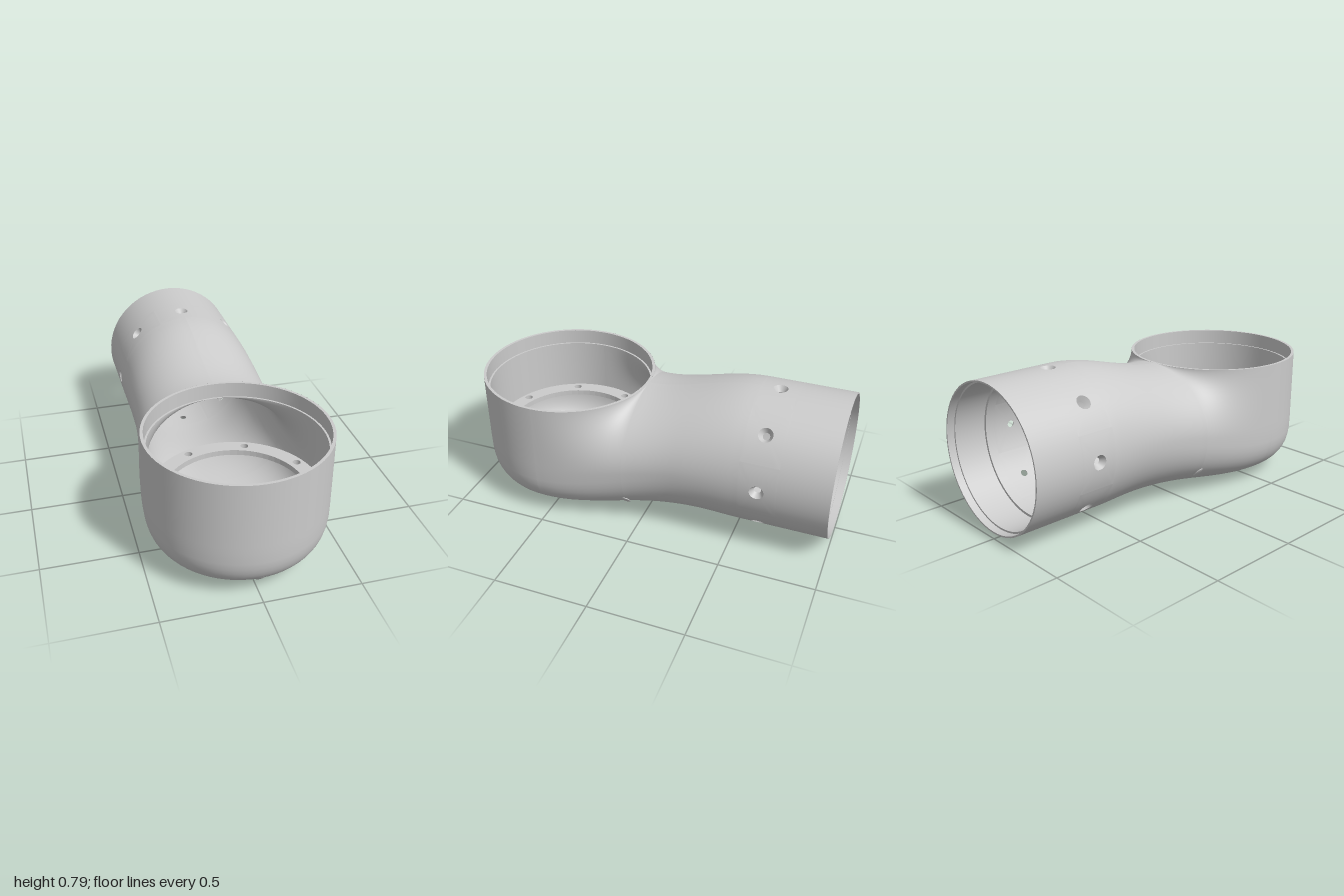
import * as THREE from 'three';

const CUP_Z = 0.53, AXIS_Y = 0.41, TUBE_R = 0.38, BORE_R = 0.35;
const material = new THREE.MeshStandardMaterial({ color: 0xcccccc, side: THREE.DoubleSide });

// smooth step from 0 at a to 1 at b
const ramp = (z, a, b) => THREE.MathUtils.smoothstep(z, a, b);

// surface through rows x cols points given by fn(i, j)
function grid(rows, cols, fn) {
  const pos = [], index = [];
  for (let i = 0; i <= rows; i++)
    for (let j = 0; j <= cols; j++) pos.push(...fn(i, j));
  for (let i = 0; i < rows; i++)
    for (let j = 0; j < cols; j++) {
      const a = i * (cols + 1) + j, b = a + cols + 1;
      index.push(a, a + 1, b, a + 1, b + 1, b);
    }
  const g = new THREE.BufferGeometry();
  g.setAttribute('position', new THREE.Float32BufferAttribute(pos, 3));
  g.setIndex(index);
  g.computeVertexNormals();
  return g;
}

// outer skin and inner skin of the elbow, as dimensions that change with z
const outer = {
  rim: 0.465,
  width: z => TUBE_R + 0.085 * ramp(z, -0.2, CUP_Z),
  top: z => 0.79 - 0.11 * ramp(z, -0.54, 0.065),
  bottom: z => 0.03 + 0.015 * ramp(z, -0.54, -0.2) - 0.04 * ramp(z, -0.1, 0.45),
};
const inner = {
  rim: 0.44,
  width: z => BORE_R + 0.09 * ramp(z, -0.2, CUP_Z),
  top: z => 0.76 - 0.16 * ramp(z, -0.54, 0.09),
  bottom: z => 0.06 + 0.01 * ramp(z, -0.54, -0.2) - 0.04 * ramp(z, -0.1, 0.45),
};

// half section at z, t = 0 at the top edge and 1 at the bottom centre
function halfSection(skin, z, t) {
  const w = skin.width(z), top = skin.top(z), bottom = skin.bottom(z);
  const yc = AXIS_Y - 0.11 * ramp(z, -0.4, CUP_Z);
  const power = 2 / (2 + ramp(z, -0.4, CUP_Z));
  const a = (t - 0.5) * Math.PI, c = Math.max(0, Math.cos(a)), s = Math.sin(a);
  if (t >= 0.5) return [w * c ** power, yc - (yc - bottom) * s ** power];
  // arch of the tube blended into the upright wall of the cup
  const rim = Math.sqrt(Math.max(0, skin.rim ** 2 - (CUP_Z - z) ** 2));
  return [(w ** 4 * c ** 4 + rim ** 4 * (1 - c ** 4)) ** 0.25, yc - (top - yc) * s];
}

// z-slices from the middle of the cup to the straight tube
function elbow(skin) {
  const zs = [], end = CUP_Z - skin.rim, n = 32;
  for (let i = 0; i <= 24; i++) zs.push(CUP_Z - skin.rim * Math.sin(i / 24 * Math.PI / 2));
  for (let i = 1; i <= 16; i++) zs.push(end + (-0.54 - end) * i / 16);
  return grid(zs.length - 1, 2 * n, (i, j) => {
    const [x, y] = halfSection(skin, zs[i], 1 - Math.abs(j - n) / n);
    return [j <= n ? x : -x, y, zs[i]];
  });
}

// front half of the cup, turned from the same section
function cupFront(skin) {
  const points = [];
  for (let i = 32; i >= 0; i--) points.push(new THREE.Vector2(...halfSection(skin, CUP_Z, i / 32)));
  return new THREE.LatheGeometry(points, 32, -Math.PI / 2, Math.PI).translate(0, 0, CUP_Z);
}

// ring between two [radius, height] pairs
const ring = (a, b) => new THREE.LatheGeometry([new THREE.Vector2(...a), new THREE.Vector2(...b)], 64);

// the same, laid along the tube axis
const tubeRing = (a, b) => ring(a, b).rotateX(Math.PI / 2).translate(0, AXIS_Y, 0);

// point on a cylinder of radius r, u measured along the arc from angle mid
const bend = (r, mid, u, z) => {
  const a = mid + u / r;
  return [r * Math.cos(a), AXIS_Y + r * Math.sin(a), z];
};

// point j of 32, evenly spaced round a square of half-width 1
function squarePoint(j) {
  const f = (j % 8) / 4 - 1;
  return [[1, f], [-f, 1], [-1, -f], [f, -1]][Math.floor(j / 8) % 4];
}

// curved panel with a round hole in its middle
function holedPanel(r, hole, mid) {
  return grid(6, 32, (i, j) => {
    const [p, q] = squarePoint(j), m = Math.hypot(p, q), k = i / 6;
    const u = THREE.MathUtils.lerp(hole * p / m, r * Math.PI / 8 * p, k);
    const v = THREE.MathUtils.lerp(hole * q / m, 0.1 * q, k);
    return bend(r, mid, u, -0.64 + v);
  });
}

// cone from the outer hole to the smaller inner hole
function countersink(mid) {
  return grid(1, 32, (i, j) => {
    const [p, q] = squarePoint(j), h = (i ? 0.018 : 0.037) / Math.hypot(p, q);
    return bend(i ? BORE_R : TUBE_R, mid, h * p, -0.64 + h * q);
  });
}

export function createModel() {
  const model = new THREE.Group();
  const add = (name, geometry, parent = model) => {
    const mesh = new THREE.Mesh(geometry, material);
    mesh.name = name;
    parent.add(mesh);
    return mesh;
  };

  // elbow body
  add('outerElbow', elbow(outer));
  add('innerElbow', elbow(inner));
  add('outerCupFront', cupFront(outer));
  add('innerCupFront', cupFront(inner));

  // tube mouth with stepped bore
  add('tubeEnd', tubeRing([TUBE_R, -0.74], [TUBE_R, -1]));
  const steps = [[TUBE_R, -1], [0.372, -1], [0.372, -0.96], [0.363, -0.96], [0.363, -0.79], [BORE_R, -0.79], [BORE_R, -0.74]];
  for (let i = 1; i < steps.length; i++) add('boreStep', tubeRing(steps[i - 1], steps[i]));

  // ring of eight countersunk holes round the tube
  const band = new THREE.Group();
  band.name = 'screwHoleBand';
  model.add(band);
  for (let k = 0; k < 8; k++) {
    const mid = k * Math.PI / 4;
    add('outerPanel', holedPanel(TUBE_R, 0.037, mid), band);
    add('innerPanel', holedPanel(BORE_R, 0.018, mid), band);
    add('countersink', countersink(mid), band);
  }

  // cup lip with a small step inside
  const lip = [[0.465, 0.68], [0.45, 0.68], [0.45, 0.6], [0.44, 0.6]];
  for (let i = 1; i < lip.length; i++) add('cupLip', ring(lip[i - 1], lip[i]).translate(0, 0, CUP_Z));

  // flange deep in the cup, with screw holes and a small front hole
  const flange = new THREE.Shape().absarc(0, 0, 0.442, 0, Math.PI * 2);
  const cut = (x, y, r) => flange.holes.push(new THREE.Path().absarc(x, y, r, 0, Math.PI * 2));
  cut(0, 0, 0.36);
  cut(0, -0.41, 0.012);
  for (let k = 0; k < 8; k++) {
    const a = (k + 0.5) * Math.PI / 4;
    cut(0.405 * Math.cos(a), 0.405 * Math.sin(a), 0.021);
  }
  const flangeGeometry = new THREE.ExtrudeGeometry(flange, { depth: 0.03, bevelEnabled: false, curveSegments: 32 });
  add('cupFlange', flangeGeometry.rotateX(-Math.PI / 2).translate(0, 0.29, CUP_Z));

  // drain openings low on the front and both sides
  for (const [x, y, z, nx, ny, nz] of [
    [0, 0.103, 0.938, 0, -0.6, 0.8],
    [0.338, 0.14, 0.07, 0.75, -0.65, 0],
    [-0.338, 0.14, 0.07, -0.75, -0.65, 0],
  ]) {
    const drain = add('drainOpening', new THREE.SphereGeometry(1, 20, 10));
    drain.scale.set(0.024, 0.038, 0.006);
    drain.position.set(x, y, z);
    drain.lookAt(x + nx, y + ny, z + nz);
  }

  // plain round pad under the cup
  add('bottomPad', new THREE.CylinderGeometry(0.12, 0.12, 0.006, 40).translate(0, 0.003, 0.5));

  return model;
}
